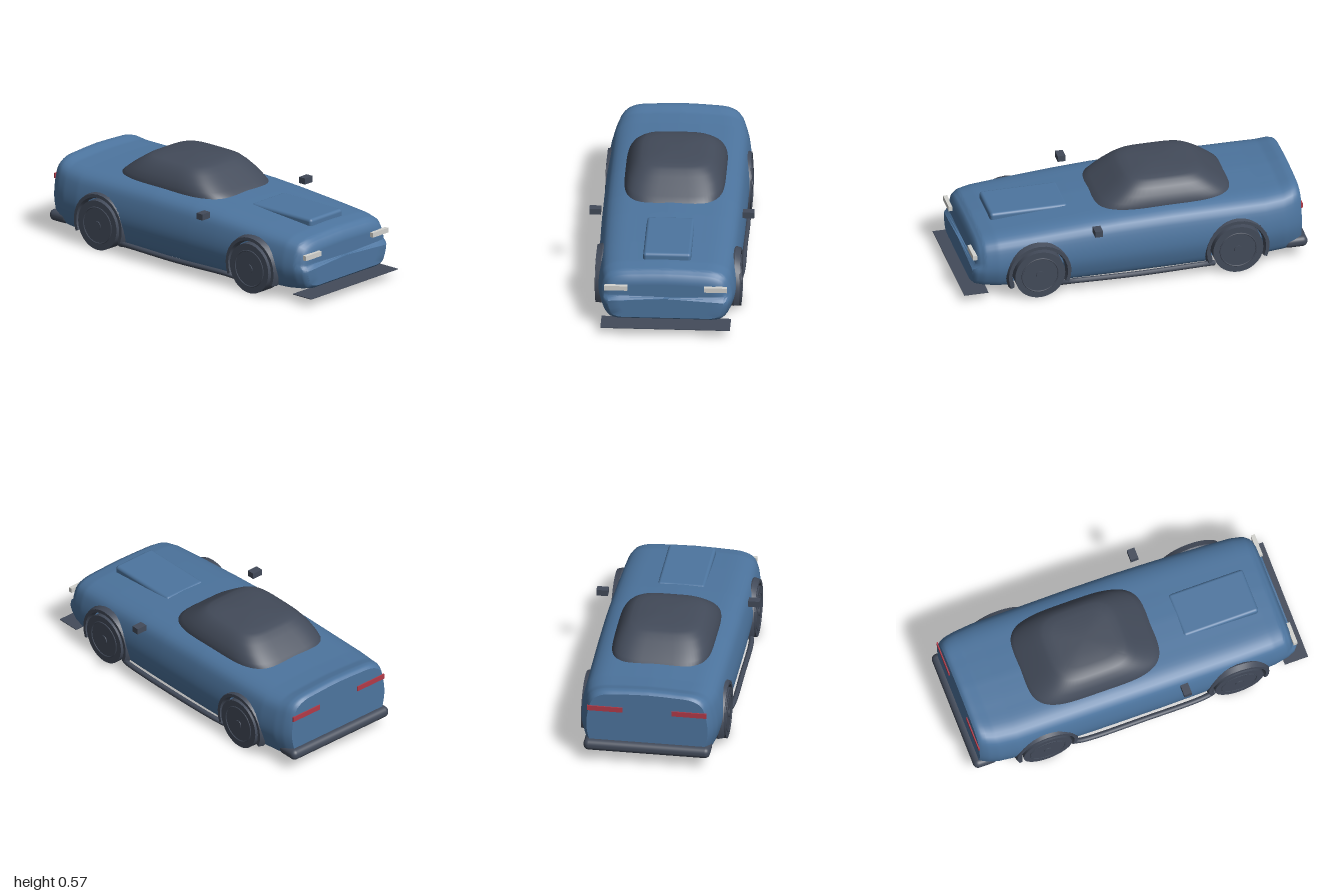
import * as THREE from 'three';
import { toCreasedNormals } from 'three/addons/utils/BufferGeometryUtils.js';
import { RoundedBoxGeometry } from 'three/addons/geometries/RoundedBoxGeometry.js';

const mat = (name, color) => {
  const m = new THREE.MeshStandardMaterial({ color });
  m.name = name;
  return m;
};

// Skin a list of closed rings, each an array of [x, y, z]
function loft(rings, crease) {
  const n = rings[0].length, index = [];
  for (let i = 0; i < rings.length - 1; i++) {
    for (let j = 0; j < n; j++) {
      const a = i * n + j, b = i * n + (j + 1) % n;
      index.push(a, b, a + n, b, b + n, a + n);
    }
  }
  const g = new THREE.BufferGeometry();
  g.setAttribute('position', new THREE.Float32BufferAttribute(rings.flat(2), 3));
  g.setIndex(index);
  return toCreasedNormals(g, crease);
}

const WHEEL_Y = 0.175, AXLES = [0.57, -0.58];

function bodyGeometry() {
  // z, half width, bottom, top
  const keys = [
    [-0.965, 0.345, 0.10, 0.472], [-0.95, 0.355, 0.095, 0.486], [-0.92, 0.37, 0.09, 0.486],
    [-0.86, 0.387, 0.088, 0.47], [-0.75, 0.40, 0.085, 0.465], [-0.2, 0.405, 0.08, 0.465],
    [0.1, 0.405, 0.08, 0.457], [0.3, 0.402, 0.08, 0.446], [0.6, 0.395, 0.082, 0.424],
    [0.8, 0.385, 0.09, 0.408], [0.88, 0.37, 0.098, 0.393], [0.925, 0.35, 0.105, 0.372],
    [0.945, 0.325, 0.12, 0.335],
  ];
  // Half section in unit width and height, from floor centre to top centre
  const half = new THREE.CatmullRomCurve3([
    [0, 0], [0.5, 0], [0.8, 0.005], [0.9, 0.05], [0.95, 0.16], [1, 0.4], [0.97, 0.68],
    [0.9, 0.86], [0.75, 0.95], [0.4, 0.985], [0, 1],
  ].map(([x, y]) => new THREE.Vector3(x, y, 0))).getSpacedPoints(44);
  const section = [...half, ...half.slice(1, -1).reverse().map(p => new THREE.Vector3(-p.x, p.y, 0))];

  const ringAt = (z) => {
    let k = 0;
    while (k < keys.length - 2 && z > keys[k + 1][0]) k++;
    const t = (z - keys[k][0]) / (keys[k + 1][0] - keys[k][0]);
    const [w, lo, hi] = [1, 2, 3].map(c => THREE.MathUtils.lerp(keys[k][c], keys[k + 1][c], t));
    return section.map(p => {
      let x = p.x * w;
      const y = lo + p.y * (hi - lo);
      // Wheel wells
      if (AXLES.some(a => Math.hypot(z - a, y - WHEEL_Y) < 0.168)) x = THREE.MathUtils.clamp(x, -0.285, 0.285);
      // The upper nose sits back above a shallow shelf
      const back = 0.022 * THREE.MathUtils.smoothstep(y, 0.22, 0.245) * THREE.MathUtils.smoothstep(z, 0.85, 0.945);
      return [x, y, z - back];
    });
  };
  const rings = [];
  const steps = 191;
  for (let i = 0; i <= steps; i++) rings.push(ringAt(-0.965 + 1.91 * i / steps));
  const shrink = (ring, s) => ring.map(([x, y, z]) => [x * s, 0.24 + (y - 0.24) * s, z]);
  const tail = rings[0], nose = rings[steps];
  return loft([shrink(tail, 0), ...rings, shrink(nose, 0.8), shrink(nose, 0)], 0.7);
}

function cabinGeometry() {
  // y, half width, front z, back z
  const levels = [
    [0.42, 0.285, 0.21, -0.62], [0.45, 0.285, 0.19, -0.612], [0.475, 0.28, 0.155, -0.58],
    [0.51, 0.265, 0.105, -0.535], [0.545, 0.24, 0.055, -0.483], [0.57, 0.213, 0.018, -0.445],
    [0.581, 0.19, -0.005, -0.42], [0.588, 0.15, -0.05, -0.37], [0.594, 0.08, -0.12, -0.3],
    [0.596, 0, -0.21, -0.21],
  ];
  const soft = v => Math.sign(v) * Math.abs(v) ** 0.5;
  return loft(levels.map(([y, w, f, b]) => Array.from({ length: 64 }, (_, j) => {
    const a = j / 64 * Math.PI * 2;
    return [w * soft(Math.cos(a)), y, (f + b) / 2 - (f - b) / 2 * soft(Math.sin(a))];
  })), 0.8);
}

export function createModel() {
  const car = new THREE.Group();
  car.name = 'car';
  const paint = mat('blue paint', 0x4d759f);
  const dark = mat('dark grey trim', 0x434b5a);
  const lamp = mat('pale lamp', 0xd2d2ce);
  const red = mat('red lamp', 0xb23a48);

  const add = (name, geometry, material, x = 0, y = 0, z = 0, parent = car) => {
    const mesh = new THREE.Mesh(geometry, material);
    mesh.name = name;
    mesh.position.set(x, y, z);
    parent.add(mesh);
    return mesh;
  };

  // Shell
  add('body', bodyGeometry(), paint);
  add('cabin', cabinGeometry(), dark);
  add('hoodScoop', new RoundedBoxGeometry(0.27, 0.07, 0.45, 4, 0.018), paint, 0, 0.41, 0.565);

  // Bumper and splitter
  add('rearBumper', new RoundedBoxGeometry(0.72, 0.065, 0.14, 4, 0.03), dark, 0, 0.133, -0.93);
  add('frontSplitter', new THREE.BoxGeometry(0.73, 0.004, 0.14), dark, 0, 0.077, 0.93);

  // Wheel parts, all around the x axis
  const tyre = new THREE.CylinderGeometry(0.145, 0.145, 0.11, 40).rotateZ(Math.PI / 2);
  const rim = new THREE.TorusGeometry(0.105, 0.004, 6, 40).rotateY(Math.PI / 2);
  const hub = new THREE.CylinderGeometry(0.025, 0.025, 0.006, 20).rotateZ(Math.PI / 2);
  const arch = new THREE.TorusGeometry(0.172, 0.019, 6, 18, Math.PI * 1.25)
    .rotateZ(-Math.PI * 0.125).scale(1, 1, 1.9).rotateY(Math.PI / 2);
  const archFlat = toCreasedNormals(arch, 0.4);
  const sillPath = new THREE.CatmullRomCurve3([
    [0.37, 0.085, 0.44], [0.395, 0.1, 0.38], [0.4, 0.096, 0], [0.395, 0.1, -0.38], [0.37, 0.085, -0.45],
  ].map(p => new THREE.Vector3(...p)));
  const sill = new THREE.TubeGeometry(sillPath, 40, 0.015, 10);

  for (const s of [1, -1]) {
    const side = s > 0 ? 'left' : 'right';
    AXLES.forEach((z, i) => {
      const end = i ? 'Rear' : 'Front';
      const wheel = new THREE.Group();
      wheel.name = `${side}${end}Wheel`;
      wheel.position.set(s * 0.355, WHEEL_Y, z);
      car.add(wheel);
      add('tyre', tyre, dark, 0, 0, 0, wheel);
      add('rimRing', rim, dark, s * 0.055, 0, 0, wheel);
      add('hubCap', hub, dark, s * 0.057, 0, 0, wheel);
      add(`${side}${end}Arch`, archFlat, dark, s * 0.375, WHEEL_Y, z);
    });
    // The sill is bowed outwards, so the right one is turned round
    const skirt = add(`${side}Sill`, sill, dark);
    if (s < 0) skirt.rotation.y = Math.PI;
    add(`${side}Mirror`, new THREE.BoxGeometry(0.065, 0.036, 0.045), dark, s * 0.432, 0.423, 0.242);
    add(`${side}Headlight`, new THREE.BoxGeometry(0.13, 0.028, 0.024), lamp, s * 0.281, 0.3, 0.932);
    add(`${side}TailLight`, new THREE.BoxGeometry(0.2, 0.03, 0.009), red, s * 0.24, 0.367, -0.967);
  }
  return car;
}
